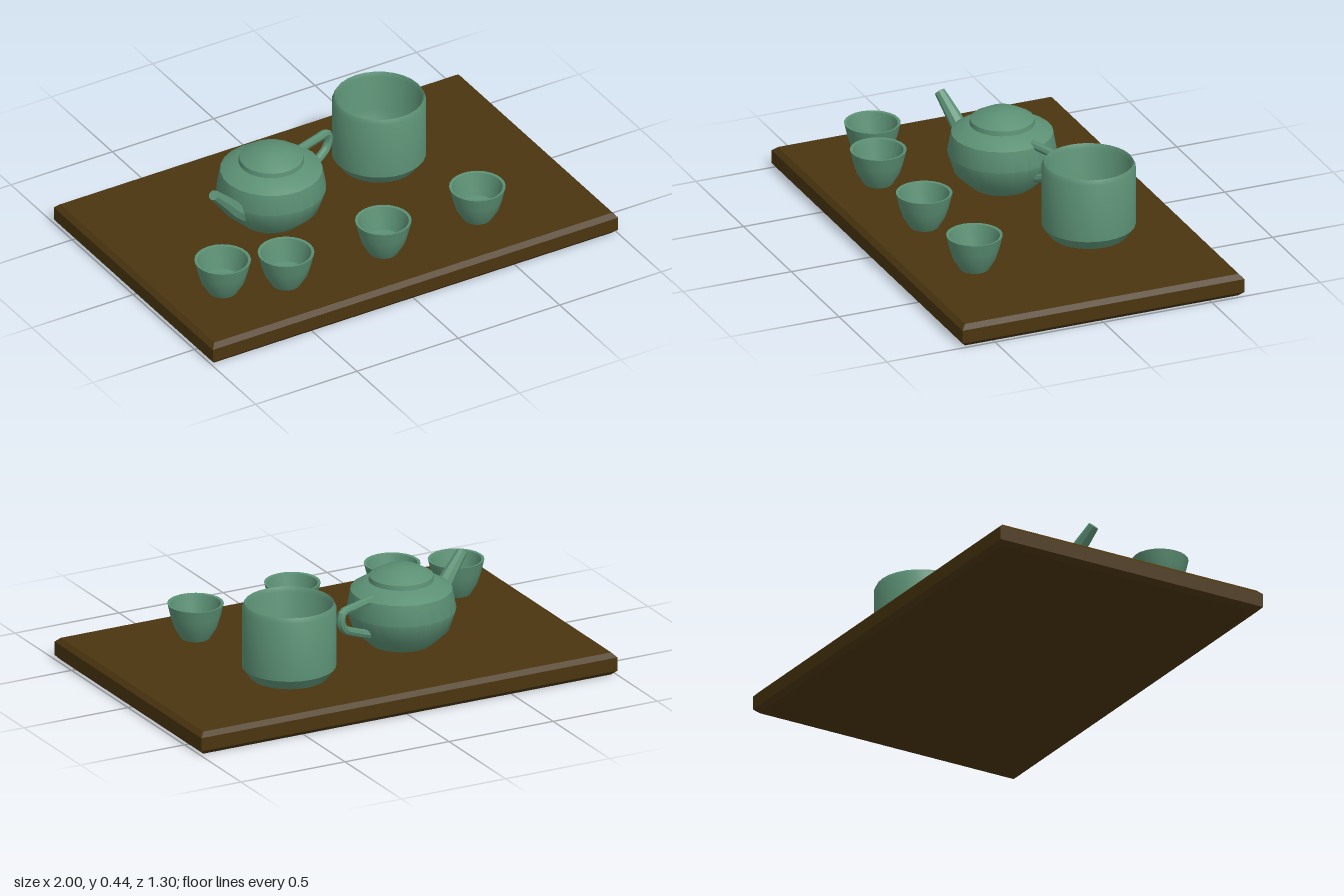
import * as THREE from 'three';
import { toCreasedNormals } from 'three/addons/utils/BufferGeometryUtils.js';

const glaze = new THREE.MeshStandardMaterial({ color: 0x5b9074 });
glaze.name = 'celadon glaze';
const wood = new THREE.MeshStandardMaterial({ color: 0x4a3510 });
wood.name = 'dark wood';

function part(name, geometry, material = glaze) {
  const mesh = new THREE.Mesh(toCreasedNormals(geometry, 0.55), material);
  mesh.name = name;
  return mesh;
}

// Turned shape from [radius, height] pairs, outside upward then inside downward
function turned(name, profile, segments = 24) {
  const points = profile.map(([r, y]) => new THREE.Vector2(r, y));
  return part(name, new THREE.LatheGeometry(points, segments));
}

// Tube along [x, y] points, narrowing from r0 to r1
function taperedTube(name, points, r0, r1, steps, sides) {
  const curve = new THREE.CatmullRomCurve3(points.map(([x, y]) => new THREE.Vector3(x, y, 0)));
  const geometry = new THREE.TubeGeometry(curve, steps, 1, sides);
  const pos = geometry.attributes.position;
  const v = new THREE.Vector3();
  for (let i = 0; i < pos.count; i++) {
    const t = Math.floor(i / (sides + 1)) / steps;
    const c = curve.getPointAt(t);
    v.fromBufferAttribute(pos, i).sub(c).multiplyScalar(r0 + (r1 - r0) * t).add(c);
    pos.setXYZ(i, v.x, v.y, v.z);
  }
  const mesh = part(name, geometry);
  // Cap on the far end
  const cap = part(name + 'Tip', new THREE.CircleGeometry(r1, sides));
  cap.position.copy(curve.getPointAt(1));
  cap.quaternion.setFromUnitVectors(new THREE.Vector3(0, 0, 1), curve.getTangentAt(1));
  mesh.add(cap);
  return mesh;
}

// Tray slab with chamfered edges
function makeTray() {
  const b = 0.02, w = 1 - b, d = 0.65 - b;
  const shape = new THREE.Shape([[-w, -d], [w, -d], [w, d], [-w, d]].map(([x, y]) => new THREE.Vector2(x, y)));
  const geometry = new THREE.ExtrudeGeometry(shape, {
    depth: 0.1 - 2 * b, bevelThickness: b, bevelSize: b, bevelSegments: 1,
  });
  geometry.rotateX(-Math.PI / 2).translate(0, b, 0);
  return part('tray', geometry, wood);
}

function makeTeapot() {
  const pot = new THREE.Group();
  pot.name = 'teapot';
  pot.add(turned('teapotBody', [
    [0, 0.1], [0.135, 0.1], [0.205, 0.165], [0.233, 0.25], [0.217, 0.34], [0.15, 0.38], [0, 0.38],
  ]));
  pot.add(turned('teapotLid', [
    [0, 0.375], [0.14, 0.375], [0.136, 0.4], [0.075, 0.434], [0, 0.444],
  ]));
  pot.add(taperedTube('spout', [[-0.17, 0.2], [-0.24, 0.25], [-0.31, 0.322], [-0.385, 0.397]], 0.045, 0.023, 10, 8));
  // Handle loop
  pot.add(taperedTube('handle', [
    [0.18, 0.342], [0.3, 0.338], [0.37, 0.332], [0.382, 0.3], [0.365, 0.26], [0.29, 0.222], [0.18, 0.18],
  ], 0.019, 0.019, 24, 8));
  pot.position.set(-0.265, 0, -0.09);
  pot.rotation.y = 0.342;
  return pot;
}

export function createModel() {
  const model = new THREE.Group();
  model.name = 'teaSet';
  model.add(makeTray(), makeTeapot());

  // Pitcher with a hollow, rounded inside
  const pitcher = turned('pitcher', [
    [0, 0.1], [0.165, 0.1], [0.2, 0.147], [0.2, 0.41], [0.19, 0.43],
    [0.18, 0.41], [0.178, 0.25], [0.15, 0.19], [0.09, 0.155], [0, 0.145],
  ], 28);
  pitcher.position.set(0.345, 0, -0.22);
  model.add(pitcher);

  // Four cups along the front
  [[-0.74, 0.3], [-0.48, 0.387], [0, 0.387], [0.477, 0.365]].forEach(([x, z], i) => {
    const cup = turned('cup' + (i + 1), [
      [0, 0.1], [0.062, 0.1], [0.092, 0.15], [0.107, 0.2], [0.12, 0.255],
      [0.108, 0.253], [0.08, 0.155], [0, 0.145],
    ]);
    cup.position.set(x, 0, z);
    model.add(cup);
  });
  return model;
}
